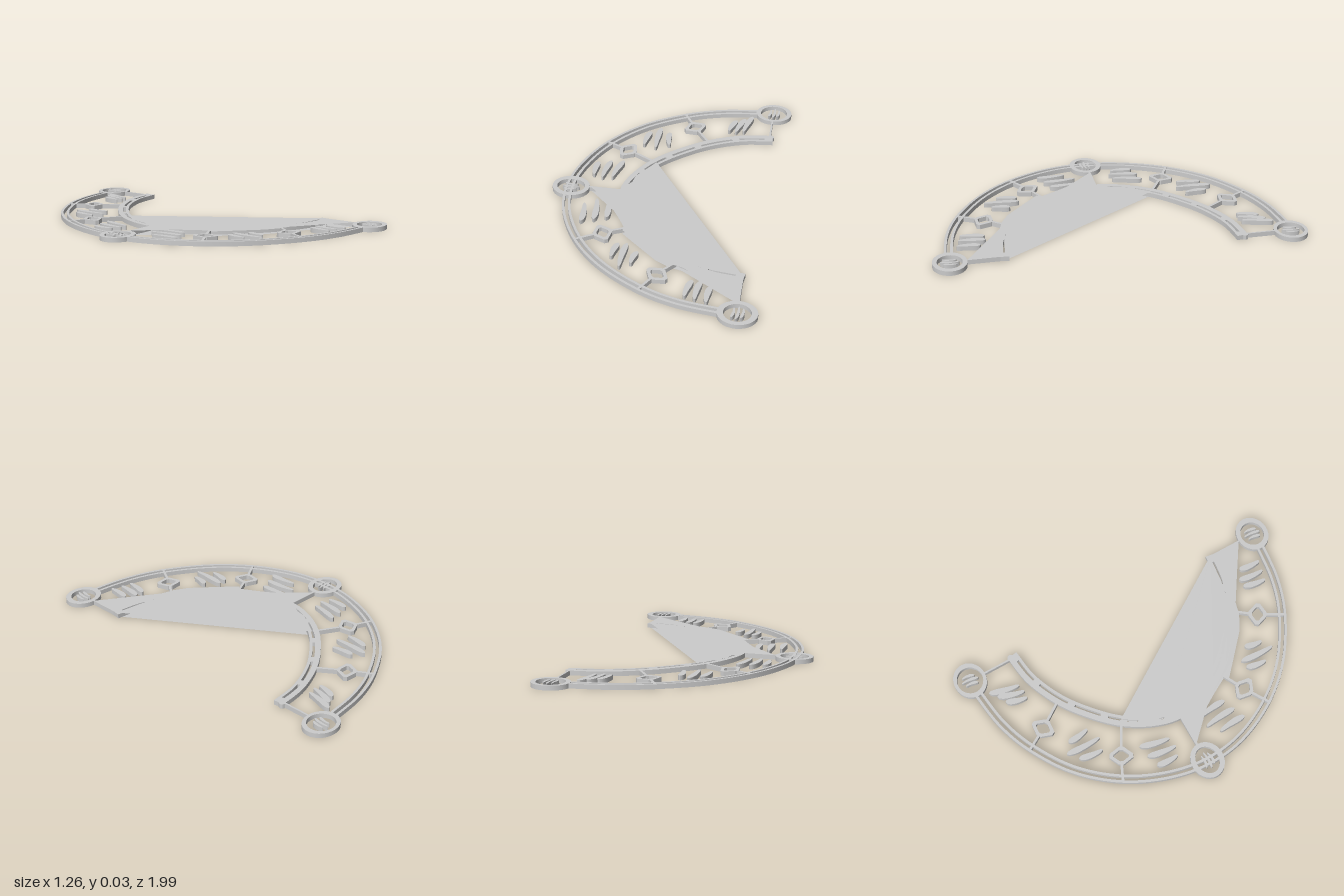
import * as THREE from 'three';
import { toCreasedNormals } from 'three/addons/utils/BufferGeometryUtils.js';

const H = 0.025; // plate thickness
const V = (p) => new THREE.Vector2(p[0], p[1]);

export function createModel() {
  const model = new THREE.Group();
  const mat = new THREE.MeshStandardMaterial({ color: 0xcccccc, side: THREE.DoubleSide });

  const add = (geo, name) => {
    const mesh = new THREE.Mesh(geo, mat);
    mesh.name = name;
    model.add(mesh);
  };

  // Plan outline in (x, z), raised from y = 0 to y = H
  const plate = (outline, name, holes = []) => {
    const shape = new THREE.Shape(outline);
    shape.holes = holes.map((h) => new THREE.Path(h));
    const geo = new THREE.ExtrudeGeometry(shape, { depth: H, bevelEnabled: false });
    geo.rotateX(Math.PI / 2).translate(0, H, 0);
    add(toCreasedNormals(geo, 0.5), name);
  };

  const ellipse = (x, z, rx, rz, n = 28) =>
    new THREE.EllipseCurve(x, z, rx, rz, 0, Math.PI * 2).getPoints(n).slice(0, n);

  // Strip between two inward offsets of a guide curve
  const strip = (curve, d0, d1, name, from = 0, to = 1, n = 80) => {
    const a = [], b = [];
    for (let i = 0; i <= n; i++) {
      const u = from + ((to - from) * i) / n;
      const p = curve.getPointAt(u), t = curve.getTangentAt(u);
      const inward = new THREE.Vector2(t.y, -t.x);
      a.push(p.clone().addScaledVector(inward, d0));
      b.unshift(p.clone().addScaledVector(inward, d1));
    }
    plate([...a, ...b], name);
  };

  // Straight bar between two plan points
  const bar = (p, q, w, name) => {
    const a = V(p), b = V(q);
    const s = b.clone().sub(a).normalize().multiplyScalar(w / 2);
    const n = new THREE.Vector2(-s.y, s.x);
    plate([a.clone().add(n), a.clone().sub(n), b.clone().sub(n), b.clone().add(n)], name);
  };

  // Slim leaf, blunter at its first end
  const leaf = (x0, z0, x1, z1, w, name, bend = 0.006) => {
    const a = new THREE.Vector2(x0, z0), d = new THREE.Vector2(x1 - x0, z1 - z0);
    const n = new THREE.Vector2(-d.y, d.x).normalize();
    const at = (u, s) => a.clone().addScaledVector(d, u)
      .addScaledVector(n, s * w * 0.5 + bend * Math.sin(u * Math.PI));
    const pts = [at(0, 0), at(0.08, 0.7), at(0.3, 1), at(0.65, 0.8), at(0.93, 0.5),
      at(1, 0), at(0.93, -0.5), at(0.65, -0.8), at(0.3, -1), at(0.08, -0.7)];
    plate(new THREE.SplineCurve([...pts, pts[0]]).getPoints(24).slice(0, 24), name);
  };

  // Double outer rim
  const outer = new THREE.SplineCurve([[0.43, -0.93], [0.21, -0.9], [0, -0.825], [-0.23, -0.68],
    [-0.41, -0.475], [-0.52, -0.24], [-0.56, -0.01], [-0.53, 0.22], [-0.42, 0.455],
    [-0.25, 0.65], [-0.02, 0.805], [0.19, 0.885], [0.41, 0.92]].map(V));
  strip(outer, 0, 0.014, 'outerRim');
  strip(outer, 0.032, 0.046, 'outerRimInnerLine');

  // Double inner rim with short ribs across the gap
  const inner = new THREE.SplineCurve([[0.53, -0.67], [0.35, -0.645], [0.16, -0.565], [0, -0.45],
    [-0.13, -0.32], [-0.22, -0.165], [-0.255, -0.01], [-0.22, 0.17], [-0.13, 0.33],
    [-0.01, 0.45], [0.15, 0.56], [0.33, 0.63], [0.5, 0.655]].map(V));
  strip(inner, 0, 0.03, 'innerRim');
  strip(inner, 0.044, 0.06, 'innerRimInnerLine');
  [0.01, 0.1, 0.21, 0.3, 0.4, 0.5, 0.6, 0.7, 0.79, 0.9, 0.99].forEach((u) =>
    strip(inner, 0.02, 0.05, 'innerRimRib', u - 0.01, u + 0.01, 2));
  plate(ellipse(0.525, -0.655, 0.018, 0.018, 8), 'innerRimTip');

  // Open web: one sheet on the top face, one on the bottom face
  const web = [[-0.42, -0.02], [-0.26, -0.015], [-0.2, -0.1], [-0.19, -0.16], [-0.095, -0.305],
    [0.5, 0.62], [0.5, 0.81], [0.3, 0.675], [0.18, 0.595], [0.11, 0.575], [0.03, 0.53],
    [-0.1, 0.41], [-0.18, 0.335], [-0.165, 0.31], [-0.22, 0.21], [-0.26, 0.145]].map(V);
  const slit = [[0.125, 0.525], [0.2, 0.56], [0.34, 0.595], [0.49, 0.615], [0.49, 0.628],
    [0.4, 0.622], [0.26, 0.59], [0.15, 0.555]].map(V);
  [0, H].forEach((y) => {
    const shape = new THREE.Shape(web);
    shape.holes.push(new THREE.Path(slit));
    const geo = new THREE.ShapeGeometry(shape);
    // top sheet faces up, bottom sheet faces down
    geo.rotateX(Math.PI / 2).translate(0, y, 0);
    if (y > 0) {
      const idx = geo.index.array;
      for (let i = 0; i < idx.length; i += 3) [idx[i], idx[i + 1]] = [idx[i + 1], idx[i]];
      geo.computeVertexNormals();
    }
    add(geo, y > 0 ? 'webTop' : 'webBottom');
  });

  // Ring medallions with small strokes inside
  const medallions = [[0.52, -0.91, 0.077, 0.072], [-0.53, -0.015, 0.078, 0.062], [0.5, 0.9, 0.072, 0.066]];
  medallions.forEach(([x, z, hx, hz], k) => {
    plate(ellipse(x, z, 0.104, 0.09), 'medallionRing', [ellipse(x, z, hx, hz)]);
    [-1, 0, 1].forEach((i) => {
      const o = i * 0.024, l = i ? 0.036 : 0.048;
      if (k === 1) leaf(x - l, z + o, x + l, z + o * 0.8, 0.014, 'medallionStroke');
      else leaf(x + o - 0.006, z + l, x + o + 0.004, z - l, 0.016, 'medallionStroke');
    });
  });

  // Radial spokes carrying hollow diamonds
  const spokes = [
    [[0, -0.82], [0.075, -0.695], [0.165, -0.56]],
    [[-0.41, -0.47], [-0.275, -0.405], [-0.1, -0.305]],
    [[-0.42, 0.45], [-0.28, 0.37], [-0.16, 0.31]],
    [[-0.02, 0.8], [0.06, 0.665], [0.14, 0.56]],
  ];
  spokes.forEach(([from, c, to]) => {
    const dir = V(to).sub(V(from)).normalize();
    const side = new THREE.Vector2(-dir.y, dir.x);
    const ring = (r) => [0, 1, 2, 3, 4, 5, 6, 7].map((i) => {
      const a = ((Math.floor(i / 2) + (i % 2 ? 0.13 : -0.13)) * Math.PI) / 2;
      return V(c).addScaledVector(dir, Math.cos(a) * r * 0.85).addScaledVector(side, Math.sin(a) * r * 1.1);
    });
    plate(ring(0.06), 'spokeDiamond', [ring(0.038)]);
    const near = V(c).addScaledVector(dir, -0.045), far = V(c).addScaledVector(dir, 0.045);
    bar(from, [near.x, near.y], 0.014, 'spokeOuter');
    bar([far.x, far.y], to, 0.014, 'spokeInner');
  });
  bar([0.518, -0.83], [0.518, -0.65], 0.01, 'endBar');
  bar([0.498, 0.62], [0.498, 0.82], 0.008, 'endBar');
  bar([-0.44, -0.02], [-0.24, -0.015], 0.012, 'middleBar');

  // Groups of three leaves between the spokes
  const leaves = [
    [0.31, -0.8, 0.275, -0.685], [0.36, -0.825, 0.315, -0.68], [0.4, -0.855, 0.36, -0.69],
    [-0.175, -0.61, -0.195, -0.475], [-0.12, -0.655, -0.125, -0.455], [-0.065, -0.615, -0.05, -0.49],
    [-0.42, -0.265, -0.425, -0.14], [-0.35, -0.285, -0.375, -0.12], [-0.28, -0.295, -0.32, -0.13],
    [-0.415, 0.29, -0.425, 0.13], [-0.35, 0.265, -0.365, 0.08], [-0.285, 0.24, -0.3, 0.08],
    [-0.18, 0.445, -0.2, 0.56], [-0.135, 0.44, -0.145, 0.635], [-0.07, 0.5, -0.09, 0.6],
    [0.245, 0.685, 0.22, 0.815], [0.29, 0.685, 0.275, 0.83], [0.345, 0.72, 0.335, 0.845],
  ];
  leaves.forEach((l) => leaf(...l, 0.034, 'leaf'));

  return model;
}
